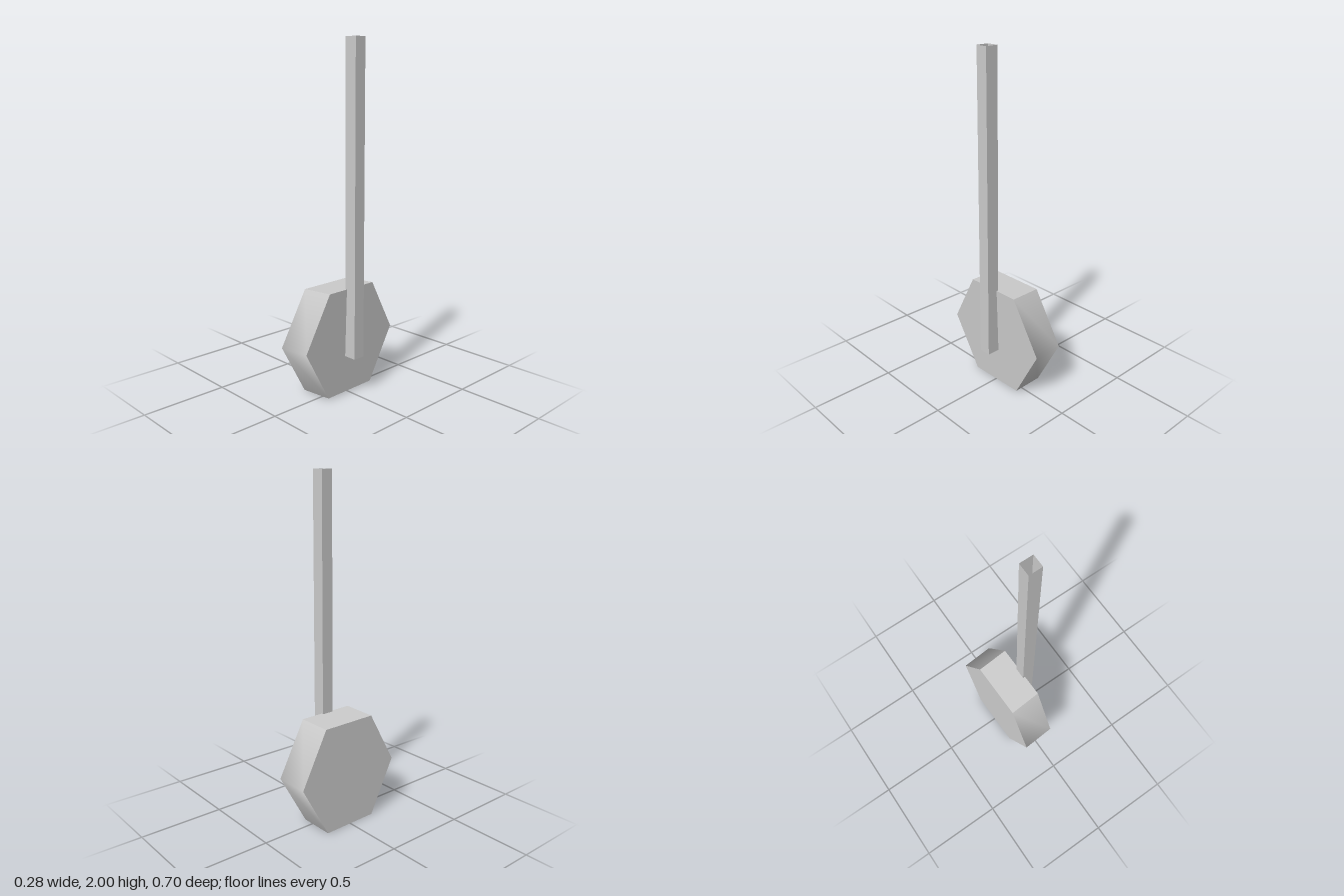
import * as THREE from 'three';
import { toCreasedNormals } from 'three/addons/utils/BufferGeometryUtils.js';

const grey = new THREE.MeshStandardMaterial({ color: 0xcccccc, side: THREE.DoubleSide });

// Square post, closed below and open at the top
function createPost() {
  const geometry = new THREE.BoxGeometry(0.076, 1.77, 0.071);
  const index = Array.from(geometry.index.array);
  index.splice(12, 6); // leave out the top face
  geometry.setIndex(index);
  geometry.clearGroups();
  geometry.translate(0.102, 1.115, -0.001);
  const post = new THREE.Mesh(geometry, grey);
  post.name = 'post';
  return post;
}

// Six-sided wheel, slightly leaning; its front and back corners are smooth
function createWheel() {
  let geometry = new THREE.CylinderGeometry(0.342, 0.342, 1, 6);
  geometry.rotateZ(-Math.PI / 2);
  geometry.scale(1, 1.047, 1);
  geometry = toCreasedNormals(geometry, THREE.MathUtils.degToRad(59.5));
  const lean = new THREE.Matrix4().makeBasis(
    new THREE.Vector3(0.1945, 0.009, -0.0115), // axle, full width
    new THREE.Vector3(0.0345, 1, 0.011),
    new THREE.Vector3(0.0175, 0, 1)
  );
  lean.setPosition(-0.031, 0.3145, -0.002);
  geometry.applyMatrix4(lean);
  const wheel = new THREE.Mesh(geometry, grey);
  wheel.name = 'wheel';
  return wheel;
}

export function createModel() {
  const group = new THREE.Group();
  group.name = 'wheelOnPost';
  group.add(createPost(), createWheel());
  return group;
}
